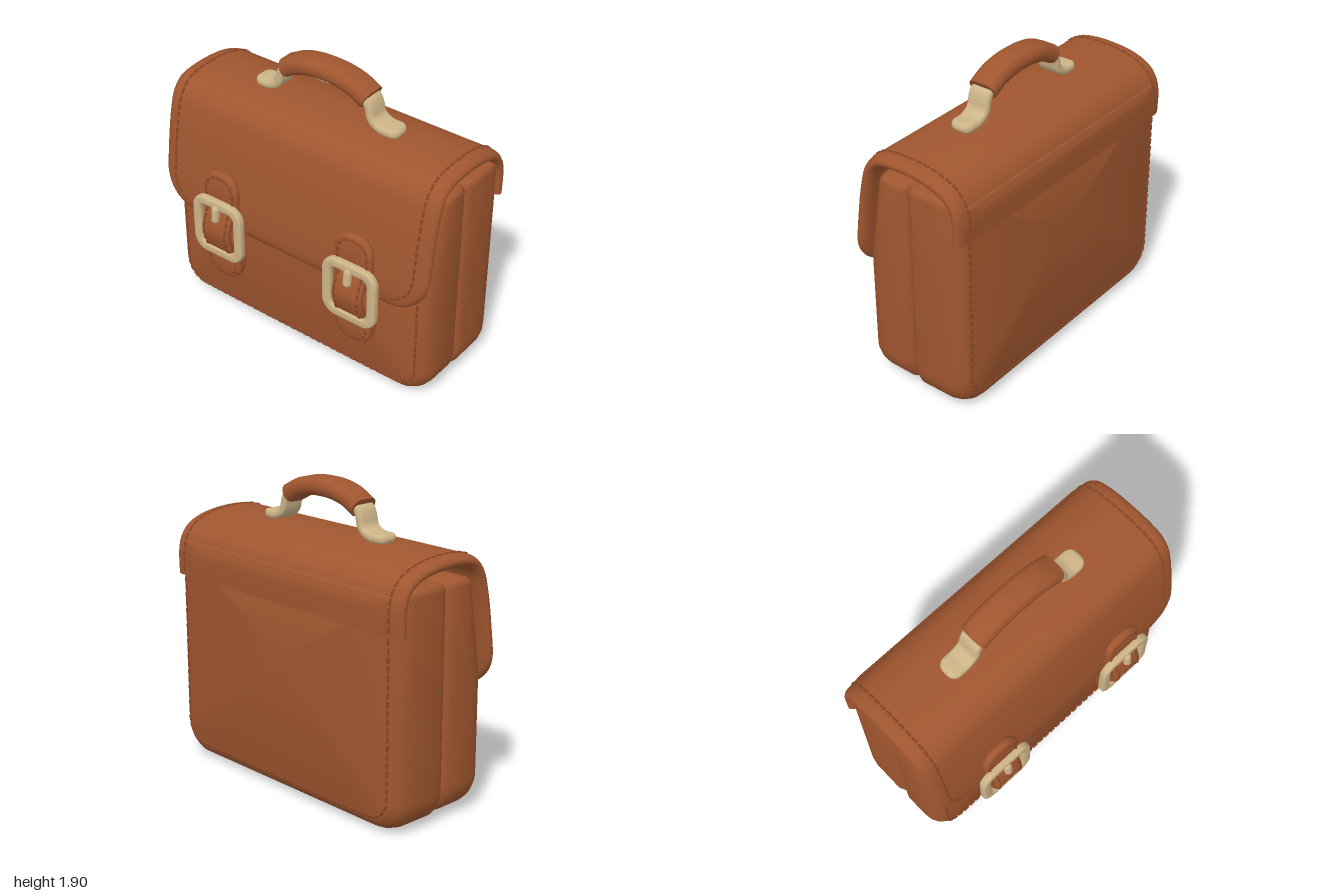
import * as THREE from 'three';
import { mergeGeometries, toCreasedNormals } from 'three/addons/utils/BufferGeometryUtils.js';

const leather = new THREE.MeshStandardMaterial({ color: 0xa0562f });
leather.name = 'brown leather';
const thread = new THREE.MeshStandardMaterial({ color: 0x8c4827 });
thread.name = 'dark thread';
const brass = new THREE.MeshStandardMaterial({ color: 0xcdb488 });
brass.name = 'pale brass';

const V = (x, y, z) => new THREE.Vector3(x, y, z);

// Skin counter-clockwise rings of points, closed at both ends by a fan
function loft(rings, startCentre, endCentre) {
  const n = rings[0].length, pos = [], idx = [];
  [...rings.flat(), startCentre, endCentre].forEach((p) => pos.push(p.x, p.y, p.z));
  const c0 = rings.length * n, c1 = c0 + 1, last = c0 - n;
  for (let i = 0; i < n; i++) {
    const j = (i + 1) % n;
    for (let r = 0; r < rings.length - 1; r++) {
      const a = r * n, b = a + n;
      idx.push(a + i, a + j, b + i, a + j, b + j, b + i);
    }
    idx.push(c0, j, i, c1, last + i, last + j);
  }
  const g = new THREE.BufferGeometry();
  g.setAttribute('position', new THREE.Float32BufferAttribute(pos, 3));
  g.setIndex(idx);
  return toCreasedNormals(g, 0.75);
}

// Thick soft-edged strip following [z, y] points; W half width, T thickness,
// e edge rounding, R0 / R1 corner radii of the two ends
function sheet(pts, { W, T, e, R0 = 0, R1 = 0, narrow = () => 1 }) {
  const curve = new THREE.CatmullRomCurve3(pts.map(([z, y]) => V(0, y, z)));
  curve.arcLengthDivisions = 500;
  const L = curve.getLength();
  const at = (x, s, depth = 0) => {
    const u = THREE.MathUtils.clamp(s / L, 0, 1);
    const p = curve.getPointAt(u), t = curve.getTangentAt(u);
    return V(x * narrow(p.y), p.y - t.z * depth, p.z + t.y * depth);
  };
  const stations = [], steps = 14, mid = 44;
  const corner = (i, R) => {
    const a = (i / steps) * Math.PI / 2;
    return [R * (1 - Math.sin(a)), W - R + R * Math.cos(a)];
  };
  if (R0) for (let i = steps; i > 0; i--) stations.push(corner(i, R0));
  for (let i = 0; i <= mid; i++) stations.push([R0 + (L - R0 - R1) * i / mid, W]);
  if (R1) for (let i = 1; i <= steps; i++) {
    const [k, w] = corner(i, R1);
    stations.push([L - k, w]);
  }
  const rings = stations.map(([s, w]) => {
    const k = Math.min(R0 ? s : 1, R1 ? L - s : 1, T / 2) / (T / 2);
    const h = T / 2 * Math.max(0.1, Math.sqrt(1 - (1 - k) ** 2));
    const ring = [], m = 8, edge = Math.min(e, w * 0.95);
    for (const side of [1, -1]) for (let i = 0; i <= m; i++) {
      const a = Math.PI * (side > 0 ? 1 - i / m : i / m);
      ring.push(at(side * (w - edge * (1 - Math.sin(a))), s, T / 2 - h * Math.cos(a)));
    }
    return ring;
  });
  return { geometry: loft(rings, at(0, 0, T / 2), at(0, L, T / 2)), at, L };
}

// U-shaped stitch line: down one side, round two corners, up the other
function uPath(hw, from, to, R, map) {
  const d = Math.sign(to - from), half = [];
  for (let i = 0; i < 24; i++) half.push([hw, from + (to - d * R - from) * i / 24]);
  for (let i = 0; i <= 8; i++) {
    const a = i / 8 * Math.PI / 2;
    half.push([hw - R + R * Math.cos(a), to - d * R + d * R * Math.sin(a)]);
  }
  return [...half, ...half.map(([x, s]) => [-x, s]).reverse()]
    .filter((p, i, all) => !i || Math.hypot(p[0] - all[i - 1][0], p[1] - all[i - 1][1]) > 1e-4)
    .map(([x, s]) => map(x, s));
}

function stitches(points) {
  const curve = new THREE.CatmullRomCurve3(points);
  curve.arcLengthDivisions = 800;
  const n = Math.round(curve.getLength() / 0.052), list = [];
  for (let i = 0; i < n; i++) {
    const u = (i + 0.5) / n, g = new THREE.CapsuleGeometry(0.008, 0.028, 2, 6);
    g.applyQuaternion(new THREE.Quaternion().setFromUnitVectors(V(0, 1, 0), curve.getTangentAt(u)));
    const p = curve.getPointAt(u);
    list.push(g.translate(p.x, p.y, p.z));
  }
  return mergeGeometries(list);
}

// Half of the case: rounded outline with [z, inset] stations, upper front leaning back
const FOLD = 0.85;
function caseHalf(stations, bottom) {
  const lean = (x, y, z) => V(x, y, z > 0 && y > FOLD ? z * (1 - 0.65 * (y - FOLD)) : z);
  const rings = stations.map(([z, inset]) => {
    const w = 0.988 - inset, y0 = bottom + inset, top = 1.45 - inset * 0.4;
    const R = 0.2 - inset * 0.6, r = 0.04, half = [];
    for (let i = 0; i <= 10; i++) {
      const a = -Math.PI / 2 + i / 10 * Math.PI / 2;
      half.push([w - R + R * Math.cos(a), y0 + R + R * Math.sin(a)]);
    }
    half.push([w, FOLD]);
    for (let i = 0; i <= 4; i++) {
      const a = i / 4 * Math.PI / 2;
      half.push([w - r + r * Math.cos(a), top - r + r * Math.sin(a)]);
    }
    return [...half, ...half.map(([x, y]) => [-x, y]).reverse()].map(([x, y]) => lean(x, y, z));
  });
  return loft(rings, V(0, FOLD, stations[0][0]), V(0, FOLD, stations.at(-1)[0]));
}

function roundedRect(path, w, h, r) {
  path.moveTo(w - r, -h);
  for (const [sx, sy, a] of [[1, -1, -0.5], [1, 1, 0], [-1, 1, 0.5], [-1, -1, 1]])
    path.absarc(sx * (w - r), sy * (h - r), r, a * Math.PI, (a + 0.5) * Math.PI, false);
  path.closePath();
  return path;
}

export function createModel() {
  const model = new THREE.Group();
  model.name = 'briefcase';
  const add = (name, geometry, material, parent = model) => {
    const m = new THREE.Mesh(geometry, material);
    m.name = name;
    parent.add(m);
    return m;
  };

  // Case body in two halves with a groove between
  add('frontCase', caseHalf([[-0.06, 0.04], [-0.045, 0.015], [-0.01, 0], [0.15, 0.002], [0.2, 0.01],
    [0.24, 0.03], [0.268, 0.06], [0.28, 0.095]], 0.018), leather);
  add('backCase', caseHalf([[-0.45, 0.095], [-0.438, 0.06], [-0.41, 0.03], [-0.37, 0.01], [-0.32, 0],
    [-0.11, 0], [-0.075, 0.015], [-0.06, 0.04]], 0.003), leather);
  add('frontStitching', stitches(uPath(0.905, 0.76, 0.1, 0.14, (x, y) => V(x, y, 0.278))), thread);
  add('backStitching', stitches(uPath(0.905, 1.2, 0.1, 0.14, (x, y) => V(x, y, -0.448))), thread);

  // Flap from the back, over the top and down the front
  const flap = sheet([[-0.452, 1.2], [-0.451, 1.36], [-0.425, 1.45], [-0.365, 1.52], [-0.25, 1.57],
    [-0.1, 1.592], [0.06, 1.59], [0.165, 1.565], [0.24, 1.49], [0.285, 1.35], [0.33, 1.08],
    [0.358, 0.82], [0.355, 0.72]], { W: 1, T: 0.075, e: 0.065, R1: 0.27 });
  add('flap', flap.geometry, leather);
  add('flapStitching', stitches(uPath(0.91, 0.02, flap.L - 0.06, 0.2, flap.at)), thread);

  // Straps with buckles
  const strap = sheet([[0.375, 1.13], [0.385, 1.0], [0.388, 0.9], [0.425, 0.82], [0.45, 0.72],
    [0.425, 0.61], [0.385, 0.53], [0.378, 0.42], [0.37, 0.34]], {
    W: 0.135, T: 0.05, e: 0.025, R0: 0.12, R1: 0.12,
    narrow: (y) => 1 - 0.2 * THREE.MathUtils.smoothstep(0.2 - Math.abs(y - 0.72), 0, 0.06),
  });
  const backing = sheet([[0.345, 0.76], [0.36, 0.64], [0.342, 0.5], [0.338, 0.345]],
    { W: 0.13, T: 0.045, e: 0.022, R1: 0.12 });
  const strapThread = mergeGeometries([0.035, strap.L - 0.035].map((end) =>
    stitches(uPath(0.105, strap.L / 2, end, 0.095, strap.at))));
  const frame = roundedRect(new THREE.Shape(), 0.18, 0.195, 0.085);
  frame.holes.push(roundedRect(new THREE.Path(), 0.147, 0.162, 0.055));
  const buckle = toCreasedNormals(new THREE.ExtrudeGeometry(frame, {
    depth: 0.02, bevelThickness: 0.015, bevelSize: 0.015, bevelSegments: 4, curveSegments: 10,
  }), 0.6);
  for (const side of [1, -1]) {
    const g = new THREE.Group();
    g.name = side > 0 ? 'leftStrap' : 'rightStrap';
    g.position.x = side * 0.51;
    model.add(g);
    add('strap', strap.geometry, leather, g);
    add('strapBacking', backing.geometry, leather, g);
    add('strapStitching', strapThread, thread, g);
    add('buckleFrame', buckle, brass, g).position.set(0, 0.735, 0.39);
    const prong = add('bucklePin', new THREE.CapsuleGeometry(0.027, 0.07, 5, 12), brass, g);
    prong.position.set(0, 0.855, 0.425);
    prong.rotation.x = -0.1;
  }

  // Carrying handle, swept along x
  const handle = new THREE.Group();
  handle.name = 'handle';
  handle.position.z = -0.06;
  handle.rotation.y = Math.PI / 2;
  model.add(handle);
  add('grip', sheet([[-0.328, 1.822], [-0.22, 1.876], [-0.1, 1.903], [0, 1.908], [0.1, 1.903],
    [0.22, 1.876], [0.328, 1.822]], { W: 0.092, T: 0.115, e: 0.05 }).geometry, leather, handle);
  const bracket = sheet([[-0.53, 1.643], [-0.47, 1.643], [-0.42, 1.645], [-0.37, 1.672],
    [-0.352, 1.73], [-0.335, 1.77], [-0.295, 1.805]], { W: 0.075, T: 0.052, e: 0.018, R0: 0.06 }).geometry;
  add('rightBracket', bracket, brass, handle);
  add('leftBracket', bracket, brass, handle).rotation.y = Math.PI;
  return model;
}
